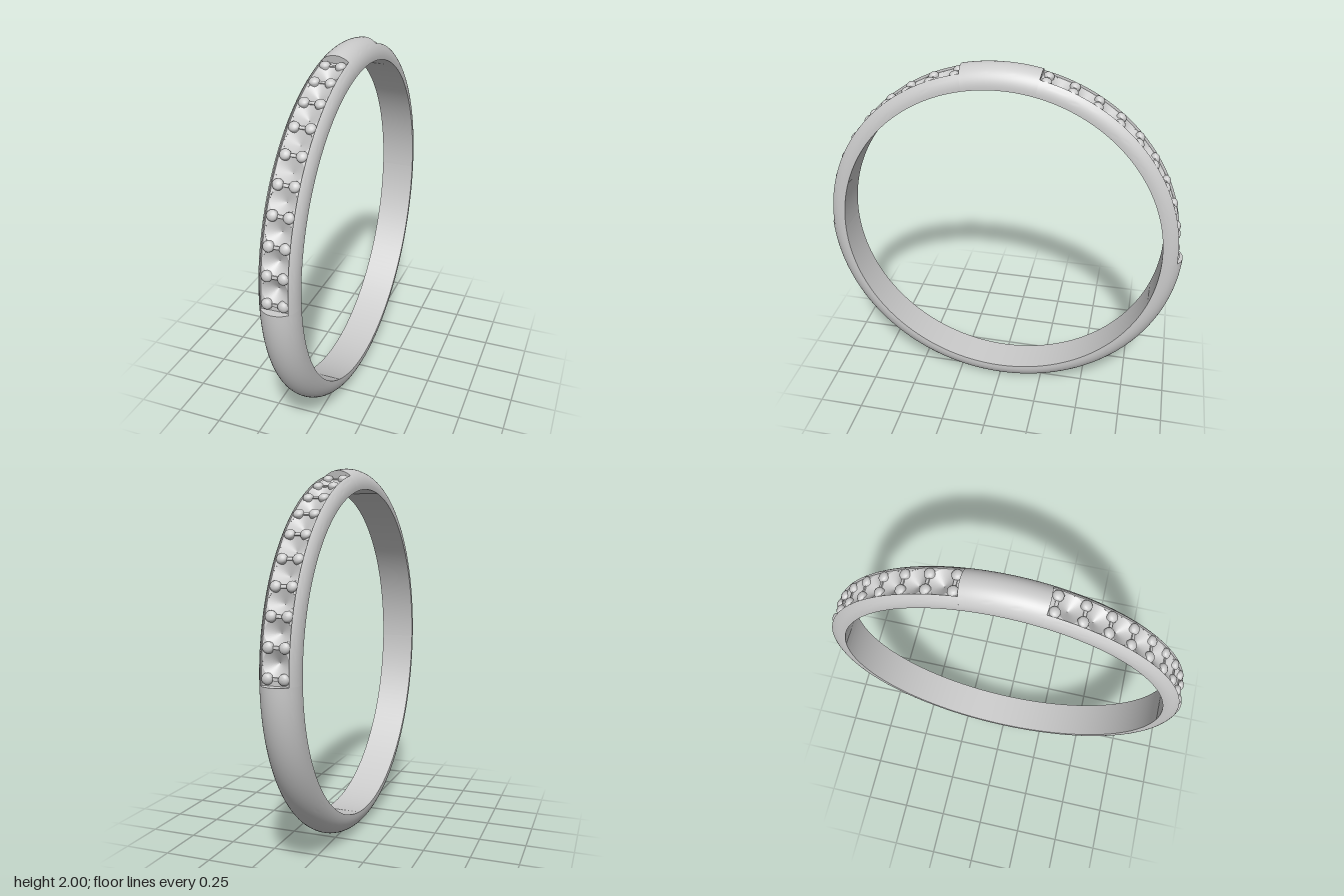
import * as THREE from 'three';
import { toCreasedNormals } from 'three/addons/utils/BufferGeometryUtils.js';

const RAD = Math.PI / 180;
const INNER = 0.89, SHOULDER = 0.9, HALF = 0.1, DOME = 0.1; // band section
const GROOVE = 0.07, FLOOR = 0.958, BED = 0.9;              // stone channel
const START = -1, END = 78, FIRST = 0.9, STEP = 8.35, SEATS = 9;

const material = new THREE.MeshStandardMaterial({ color: 0xcccccc });
const thin = new THREE.MeshStandardMaterial({ color: 0xcccccc, side: THREE.DoubleSide });

// Height of the domed outside at a given x
const dome = (x) => SHOULDER + DOME * Math.sqrt(Math.max(0, 1 - (x / HALF) ** 2));

// Points along the dome between two angles of its ellipse
function domeArc(from, to, n) {
  return Array.from({ length: n + 1 }, (_, i) => {
    const t = from + ((to - from) * i) / n;
    return new THREE.Vector2(HALF * Math.cos(t), SHOULDER + DOME * Math.sin(t));
  });
}

// Sweep a section (x, radius) round the ring between two angles in degrees
function sweep(points, a0, a1) {
  const steps = Math.max(1, Math.ceil((a1 - a0) / 2));
  const geo = new THREE.ExtrudeGeometry(new THREE.Shape(points), { depth: 1, steps, bevelEnabled: false });
  const p = geo.attributes.position;
  for (let i = 0; i < p.count; i++) {
    const a = (a1 + (a0 - a1) * p.getZ(i)) * RAD, r = p.getY(i);
    p.setXYZ(i, p.getX(i), 1 + r * Math.sin(a), r * Math.cos(a));
  }
  return toCreasedNormals(geo, 0.6);
}

function add(parent, name, geo, mat = material) {
  const mesh = new THREE.Mesh(geo, mat);
  mesh.name = name;
  parent.add(mesh);
  return mesh;
}

// Group whose +z points outward at an angle round the ring
function station(parent, name, degrees) {
  const g = new THREE.Group();
  g.name = name;
  g.position.y = 1;
  g.rotation.x = -degrees * RAD;
  parent.add(g);
  return g;
}

export function createModel() {
  const ring = new THREE.Group();
  ring.name = 'ring';
  const v = (x, y) => new THREE.Vector2(x, y);

  // Plain and channelled sections of the band
  const base = [v(-HALF, INNER), v(HALF, INNER)];
  const plain = [...base, ...domeArc(0, Math.PI, 28)];
  const edge = Math.acos(GROOVE / HALF);
  const grooved = [...base, ...domeArc(0, edge, 8), v(GROOVE, BED),
    v(-GROOVE, BED), ...domeArc(Math.PI - edge, Math.PI, 8)];
  const ledge = [v(-GROOVE, BED), v(GROOVE, BED), v(GROOVE, FLOOR), v(-GROOVE, FLOOR)];

  add(ring, 'lowerBand', sweep(plain, 180 - START, 360 + START));
  add(ring, 'topBand', sweep(plain, END, 180 - END));

  // Seat plate with a round opening
  const half = FLOOR * Math.tan((STEP / 2) * RAD), pitR = 0.066;
  const plateShape = new THREE.Shape([v(-GROOVE, -half), v(GROOVE, -half), v(GROOVE, half), v(-GROOVE, half)]);
  plateShape.holes.push(new THREE.Path().absarc(0, 0, pitR, 0, Math.PI * 2, true));
  const plateGeo = new THREE.ShapeGeometry(plateShape, 24).translate(0, 0, FLOOR);

  // Conical pit, point inward
  const pitGeo = new THREE.ConeGeometry(pitR, 0.045, 32, 1, true)
    .rotateX(-Math.PI / 2).translate(0, 0, FLOOR - 0.0225);

  // Round-topped prong and the small bridge between a pair
  const prongGeo = new THREE.LatheGeometry(
    [v(0.027, 0.91), v(0.027, 0.962), v(0.025, 0.969), v(0.019, 0.975), v(0.01, 0.979), v(0, 0.98)], 20
  ).rotateX(Math.PI / 2);
  const bridgeGeo = new THREE.BoxGeometry(0.04, 0.016, 0.05).translate(0, 0, 0.938);

  for (const front of [true, false]) {
    const side = new THREE.Group();
    side.name = front ? 'frontChannel' : 'backChannel';
    ring.add(side);
    const at = (a) => (front ? a : 180 - a);
    const span = (section, a, b) => sweep(section, Math.min(at(a), at(b)), Math.max(at(a), at(b)));

    add(side, 'channelBand', span(grooved, START, END));
    add(side, 'lowerLedge', span(ledge, START, FIRST));
    add(side, 'upperLedge', span(ledge, FIRST + SEATS * STEP, END));

    for (let i = 0; i < SEATS; i++) {
      const seat = station(side, 'seat', at(FIRST + (i + 0.5) * STEP));
      add(seat, 'seatPlate', plateGeo, thin);
      add(seat, 'seatPit', pitGeo, thin);
    }
    for (let i = 0; i <= SEATS; i++) {
      const pair = station(side, 'prongPair', at(FIRST + i * STEP));
      add(pair, 'bridge', bridgeGeo);
      for (const s of [-1, 1]) add(pair, 'prong', prongGeo, thin).position.x = s * 0.041;
    }
  }
  return ring;
}
